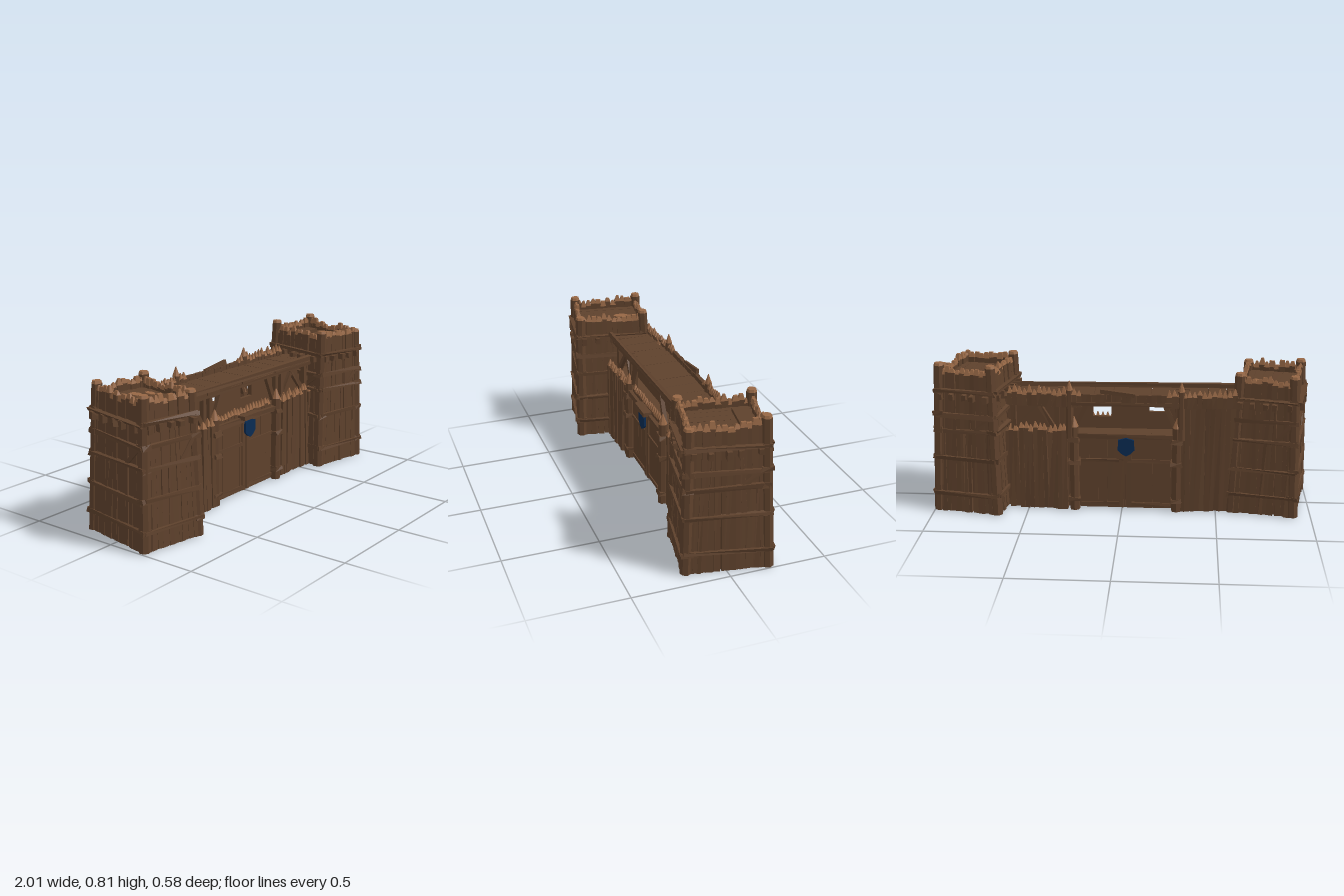
import * as THREE from 'three';
import { mergeGeometries } from 'three/addons/utils/BufferGeometryUtils.js';

const V = (x, y, z) => new THREE.Vector3(x, y, z);
const UP = V(0, 1, 0), ALONG = V(1, 0, 0);

export function createModel() {
  let seed = 7;
  const rnd = (a, b) => {
    seed = (seed * 16807) % 2147483647;
    return a + (b - a) * seed / 2147483647;
  };
  const material = (name, color) => {
    const m = new THREE.MeshStandardMaterial({ color, flatShading: true });
    m.name = name;
    return m;
  };
  const wood = material('weathered wood', 0x5e412c);
  const cut = material('fresh cut wood', 0x966745);
  const blue = material('blue paint', 0x0a2b52);

  // Collects geometry by part name and merges each part into one mesh
  function kit(group) {
    const parts = new Map();
    const add = (name, mat, geo) => {
      if (!parts.has(name)) parts.set(name, { mat, list: [] });
      parts.get(name).list.push(geo.index ? geo.toNonIndexed() : geo);
    };
    // Rough-hewn beam from a to b; w is measured along hint, d across it
    const beam = (name, mat, a, b, w, d, hint = ALONG, taper = 1, rough = 0.1) => {
      const y = b.clone().sub(a), len = y.length();
      y.normalize();
      const x = hint.clone().addScaledVector(y, -hint.dot(y)).normalize();
      const z = x.clone().cross(y);
      const geo = new THREE.BoxGeometry(w, len, d);
      const p = geo.attributes.position;
      const off = Array.from({ length: 8 }, () => [rnd(-rough, rough) * w, rnd(-rough, rough) * Math.min(w, d), rnd(-rough, rough) * d]);
      for (let i = 0; i < p.count; i++) {
        const k = (p.getX(i) > 0 ? 1 : 0) + (p.getY(i) > 0 ? 2 : 0) + (p.getZ(i) > 0 ? 4 : 0);
        const t = p.getY(i) > 0 ? taper : 1;
        p.setXYZ(i, p.getX(i) * t + off[k][0], p.getY(i) + off[k][1], p.getZ(i) * t + off[k][2]);
      }
      geo.applyMatrix4(new THREE.Matrix4().makeBasis(x, y, z).setPosition(a.clone().add(b).multiplyScalar(0.5)));
      add(name, mat, geo);
    };
    // Upright stake with a pale sharpened end
    const stake = (name, a, b, w, d, tip, point = 0.15, hint = ALONG) => {
      beam(name, wood, a, b, w, d, hint, 0.92, 0.1);
      const up = b.clone().sub(a).normalize().multiplyScalar(tip);
      beam(name + 'Tips', cut, b, b.clone().add(up), w * 0.94, d * 0.94, hint, point, 0.04);
    };
    // Round log post with a pale top
    const post = (name, x, z, r, y0, y1, dx = 0, dz = 0, tip = 0.014, point = 0.75) => {
      const lean = new THREE.Matrix4().makeShear(0, 0, dx / (y1 - y0), dz / (y1 - y0), 0, 0);
      const shaft = new THREE.CylinderGeometry(r * 0.9, r, y1 - y0, 7).translate(0, (y1 - y0) / 2, 0);
      add(name, wood, shaft.applyMatrix4(lean).translate(x, y0, z));
      add(name + 'Tops', cut, new THREE.CylinderGeometry(r * point, r * 0.9, tip, 7).translate(x + dx, y1 + tip / 2, z + dz));
    };
    const build = () => parts.forEach(({ mat, list }, name) => {
      const mesh = new THREE.Mesh(mergeGeometries(list), mat);
      mesh.geometry.computeVertexNormals();
      mesh.name = name;
      group.add(mesh);
    });
    return { add, beam, stake, post, build };
  }

  const root = new THREE.Group();
  root.name = 'timberGatehouse';
  const subGroup = (name, x, y, z, turn) => {
    const g = new THREE.Group();
    g.name = name;
    g.position.set(x, y, z);
    g.rotation.y = turn;
    root.add(g);
    return g;
  };

  // Tapered square tower with plank walls, rails and a sunken deck
  function tower(name, x, z, top, postTops, rails) {
    const k = kit(subGroup(name, x, 0, z, -0.175));
    const hx = y => 0.176 - 0.037 * y, hz = y => 0.216 - 0.037 * y, lean = y => 0.013 * y;
    const deckY = top - 0.065;
    const core = new THREE.CylinderGeometry(Math.SQRT1_2, Math.SQRT1_2, 1, 4).rotateY(Math.PI / 4).translate(0, 0.5, 0);
    const p = core.attributes.position;
    for (let i = 0; i < p.count; i++) {
      const y = p.getY(i) * deckY;
      p.setXYZ(i, p.getX(i) * 2 * (hx(y) - 0.015), y, p.getZ(i) * 2 * (hz(y) - 0.015) + lean(y));
    }
    k.add('towerCore', wood, core);
    // Point on wall s: u runs along it from -1 to 1, o stands out from it
    const at = (s, u, y, o) => [V(u * hx(y), y, hz(y) + o), V(hx(y) + o, y, -u * hz(y)),
      V(-u * hx(y), y, -hz(y) - o), V(-hx(y) - o, y, u * hz(y))][s].add(V(0, 0, lean(y)));
    for (let s = 0; s < 4; s++) {
      const dir = at(s, 1, 0, 0).sub(at(s, -1, 0, 0)).normalize();
      const half = s % 2 ? 0.2 : 0.165;
      const n = s % 2 ? 12 : 10;
      for (let i = 0; i < n; i++) {
        const u = ((i + 0.5) / n * 2 - 1) * 0.92;
        k.stake('wallPlanks', at(s, u + rnd(-0.05, 0.05), 0, -0.008), at(s, u, top - rnd(0.018, 0.045), -0.01 + rnd(-0.005, 0.005)),
          half * 2 / n * rnd(1.02, 1.18), 0.025, rnd(0.018, 0.036), rnd(0.2, 0.75), dir);
      }
      // Narrow battens laid over the planks
      for (let i = 0; i < 5; i++) {
        const u = -0.7 + i * 0.35 + rnd(-0.08, 0.08), y0 = i % 2 ? rails[1] : 0;
        k.beam('wallBattens', wood, at(s, u, y0, 0), at(s, u + rnd(-0.08, 0.08), rails[i % 2 ? 4 : 2], 0), 0.026, 0.016, dir, 0.6, 0.2);
      }
      rails.forEach((y, i) => {
        const last = i === rails.length - 1, e = last ? 1.06 : 1.01;
        k.beam('wallRails', wood, at(s, -e, y + rnd(-0.008, 0.008), 0.008), at(s, e, y + rnd(-0.008, 0.008), 0.008),
          last ? 0.016 : 0.02, last ? 0.032 : 0.02, UP, 1, 0.25);
      });
      k.beam('wallBraces', wood, at(s, 0.35, rails[2], 0.004), at(s, 0.9, rails[3], 0.004), 0.022, 0.014, dir);
      // Joist ends beneath the top rail
      for (const u of [-0.85, -0.45, 0, 0.3, 0.8]) {
        const y = rails[4] - 0.025;
        k.beam('joistEnds', wood, at(s, u, y, -0.02), at(s, u, y, rnd(0.025, 0.045)), 0.027, rnd(0.03, 0.045), dir, 0.9);
      }
    }
    [[1, 1], [1, -1], [-1, -1], [-1, 1]].forEach(([sx, sz], i) => {
      const px = sx * (hx(0) - 0.014), pz = sz * (hz(0) - 0.014), y1 = postTops[i] - 0.014;
      k.post('cornerPosts', px, pz, 0.03, 0, y1, -sx * 0.022, -sz * 0.022 + lean(y1));
      for (const y of rails) {
        const bx = px - sx * 0.03 * y, bz = pz - sz * 0.03 * y + lean(y);
        k.beam('cornerBindings', wood, V(bx, y - 0.012, bz), V(bx, y + 0.012, bz), 0.056, 0.056, ALONG, 0.9);
      }
    });
    // Deck boards
    for (let i = 0; i < 6; i++) {
      const bx = -0.12 + i * 0.048;
      k.beam('deckBoards', wood, V(bx, deckY + 0.003, -0.175), V(bx, deckY + 0.003, 0.19), 0.047, 0.008, ALONG, 1, 0.04);
    }
    return { k, deckY };
  }
  const low = tower('rightTower', -0.778, 0.024, 0.737, [0.735, 0.757, 0.757, 0.755], [0.1, 0.25, 0.4, 0.51, 0.62]);
  for (const [x, z, r] of [[0.012, -0.06, 0.024], [0.075, -0.035, 0.019]]) {
    low.k.add('deckPatches', cut, new THREE.CylinderGeometry(r, r, 0.006, 7).scale(1, 1, 1.8).translate(x, low.deckY + 0.009, z));
  }
  low.k.build();
  const high = tower('leftTower', 0.778, -0.034, 0.775, [0.765, 0.803, 0.803, 0.79], [0.108, 0.298, 0.45, 0.535, 0.655]);
  high.k.beam('deckHatch', wood, V(-0.09, high.deckY + 0.015, -0.1), V(0.09, high.deckY + 0.015, -0.1), 0.02, 0.08, UP, 1, 0.04);
  high.k.build();

  // Curtain wall: solid core, pierced upper wall and walkway
  const w = kit(subGroup('curtainWall', 0, 0, 0, 0));
  w.add('wallCore', wood, new THREE.BoxGeometry(1.24, 0.42, 0.17).translate(0, 0.21, -0.045));
  const panel = new THREE.Shape([[-0.62, 0.4], [0.62, 0.4], [0.62, 0.61], [-0.62, 0.61]].map(c => new THREE.Vector2(...c)));
  for (const [x0, y0, x1, y1] of [[-0.24, 0.515, -0.14, 0.543], [0.06, 0.485, 0.16, 0.545]]) {
    panel.holes.push(new THREE.Path([[x0, y0], [x0, y1], [x1, y1], [x1, y0]].map(c => new THREE.Vector2(...c))));
  }
  w.add('upperWall', wood, new THREE.ExtrudeGeometry(panel, { depth: 0.02, bevelEnabled: false }).translate(0, 0, -0.05));
  // The wall narrows at the back and bends forward toward the right tower
  const backZ = x => -0.172 + 0.07 * Math.max(0, Math.abs(x) - 0.28);
  const frontZ = x => 0.062 - 0.03 * x * (x < 0 ? 1 : 0.5);
  for (let x = -0.6; x < 0.61; x += 0.1) {
    w.beam('walkwayBoards', wood, V(x, 0.612, backZ(x)), V(x, 0.612, frontZ(x) + rnd(-0.008, 0.01)), 0.098, 0.014, ALONG, 1, 0.03);
  }
  w.beam('walkwayBeams', wood, V(-0.62, 0.632, 0.072), V(0.62, 0.628, 0.052), 0.022, 0.022, UP, 1, 0.2);
  w.beam('walkwayBeams', wood, V(-0.62, 0.597, 0.06), V(0.62, 0.597, 0.045), 0.02, 0.024, UP);
  w.beam('walkwayBeams', wood, V(-0.3, 0.595, -0.172), V(0.28, 0.595, -0.172), 0.022, 0.03, UP);
  w.beam('walkwayBeams', wood, V(-0.07, 0.64, -0.175), V(0.11, 0.662, -0.175), 0.025, 0.016, UP);
  // Low palisades on both faces, with one tall stretch at the back
  for (const s of [-1, 1]) {
    for (let i = 0; i < 12; i++) {
      const x = s * 0.3 + (s > 0 ? 0 : -0.02) + s * i * 0.026, fz = frontZ(x), bz = backZ(x) + 0.016;
      w.stake('frontPalisade', V(x, 0, fz + rnd(-0.008, 0.01)), V(x + rnd(-0.005, 0.005), rnd(0.43, 0.45), fz + rnd(-0.01, 0.004)), 0.028, 0.03, rnd(0.03, 0.045));
      w.stake('backPalisade', V(x, 0, bz - rnd(0, 0.012)), V(x + rnd(-0.005, 0.005), s < 0 ? rnd(0.58, 0.6) : rnd(0.43, 0.45), bz - rnd(0, 0.01)), 0.028, 0.03, 0.035);
    }
    // Struts carrying both edges of the walkway
    for (const z of [0.035, -0.138]) {
      for (const x of [0.29, 0.34, 0.57]) w.beam('walkwayPosts', wood, V(s * x, 0.42, z), V(s * x, 0.62, z), 0.026, 0.024);
      w.beam('walkwayBraces', wood, V(s * 0.55, 0.45, z), V(s * 0.42, 0.6, z), 0.024, 0.02);
      w.beam('walkwayBraces', wood, V(s * 0.36, 0.45, z), V(s * 0.45, 0.6, z), 0.024, 0.02);
    }
    w.post('rearPosts', s * 0.29 - 0.02, -0.17, 0.021, 0.4, 0.665, 0, 0, 0.05, 0.1);
  }
  // Rear parapet: pointed at the sides, plain boards in the middle
  for (let i = 0; i < 46; i++) {
    const x = -0.585 + i * 0.026, z = backZ(x);
    if (x > -0.24 && x < 0.2) w.beam('parapetBoards', wood, V(x, 0.585, z), V(x, 0.645, z), 0.027, 0.02);
    else w.stake('parapet', V(x, 0.575, z), V(x, rnd(0.63, 0.648), z), 0.028, 0.026, rnd(0.025, 0.042));
  }
  w.build();

  // Double gate with posts, lintel and painted shield, one per face
  function gate(name, z, turn, isFront) {
    const k = kit(subGroup(name, -0.02, 0, z, turn));
    for (let i = 0; i < 10; i++) {
      const x = -0.2165 + i * 0.0481;
      k.beam('doorPlanks', wood, V(x, 0.008, -0.016), V(x, 0.4, -0.016), 0.047, 0.016 + rnd(0, 0.006), ALONG, 1, 0.03);
    }
    for (const s of [-1, 1]) {
      for (const y of [0.03, 0.275]) k.beam('doorRails', wood, V(s * 0.01, y, -0.005), V(s * 0.235, y, -0.005), 0.018, 0.012, UP, 1, 0.15);
      k.beam('doorStiles', wood, V(s * 0.02, 0.01, -0.005), V(s * 0.02, 0.39, -0.005), 0.024, 0.012);
      k.post('gatePosts', s * 0.27, 0.004, 0.027, 0, 0.465, 0, 0, 0.055, 0.1);
      for (const y of [0.06, 0.27, 0.395]) k.beam('postBindings', wood, V(s * 0.27, y - 0.012, 0.004), V(s * 0.27, y + 0.012, 0.004), 0.062, 0.058, ALONG, 0.9);
      k.beam('headBraces', wood, V(s * 0.262, 0.46, -0.012), V(s * 0.2, 0.595, -0.012), 0.022, 0.02);
    }
    k.beam('lintel', wood, V(-0.29, 0.415, 0.002), V(0.29, 0.412, 0.002), 0.026, 0.03, UP);
    // Only the front has spikes over the lintel and a hood over the shield
    if (isFront) {
      for (let i = 0; i < 17; i++) {
        const x = -0.216 + i * 0.027;
        k.stake('lintelSpikes', V(x, 0.41, -0.014), V(x, rnd(0.44, 0.452), -0.014), 0.028, 0.024, rnd(0.022, 0.04));
      }
      k.beam('shieldHood', wood, V(-0.065, 0.428, 0.02), V(0.08, 0.43, 0.02), 0.022, 0.05, UP);
    }
    const outline = [[-0.037, 0.4], [-0.04, 0.345], [-0.02, 0.325], [0.004, 0.312], [0.028, 0.325], [0.048, 0.345], [0.045, 0.4], [0.004, 0.412]];
    const shield = new THREE.Shape(outline.map(c => new THREE.Vector2(...c)));
    k.add('shield', blue, new THREE.ExtrudeGeometry(shield, { depth: 0.012, bevelEnabled: false }).translate(0, 0, 0.018));
    k.build();
  }
  gate('frontGate', 0.066, 0, true);
  gate('backGate', -0.16, Math.PI, false);
  return root;
}
